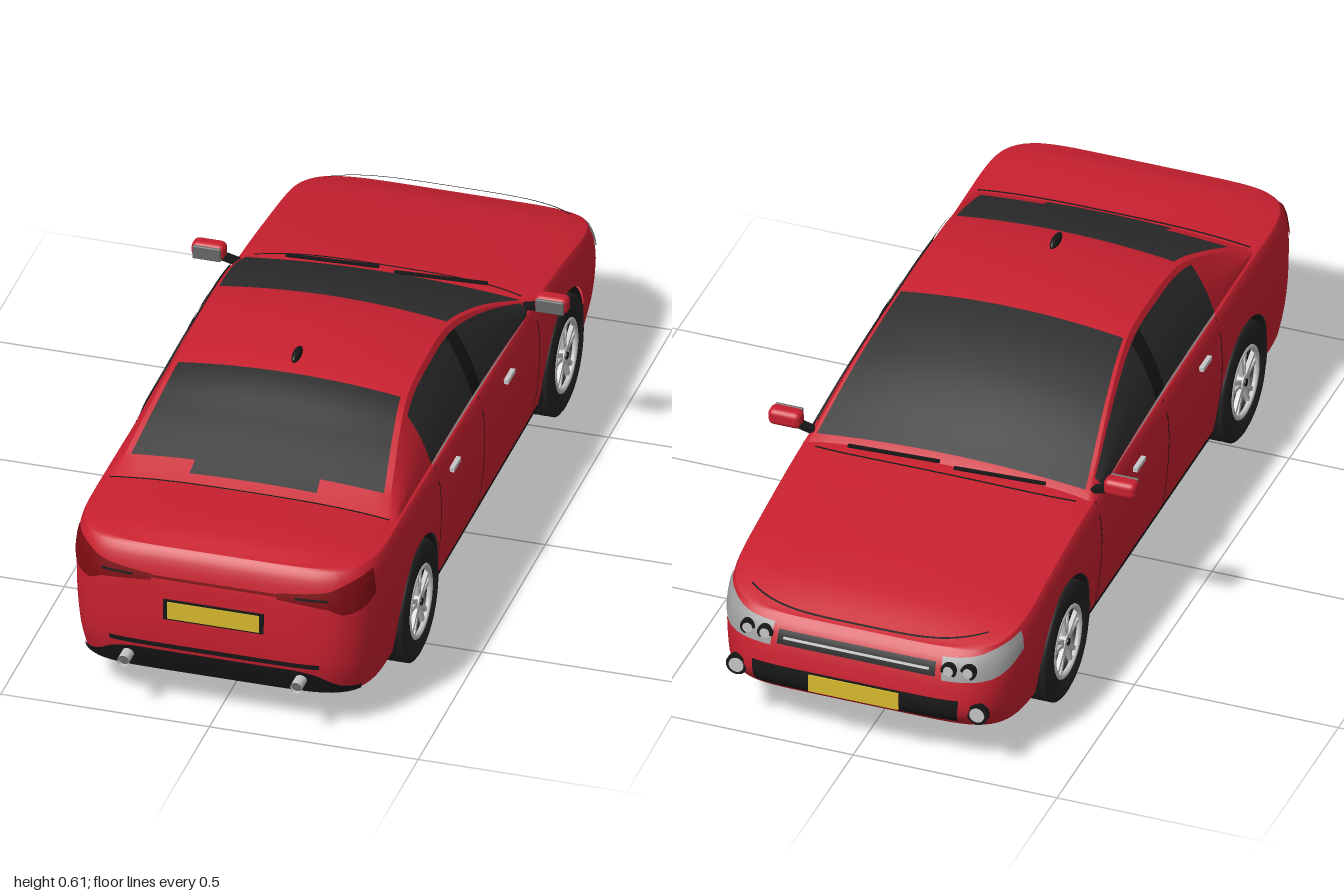
import * as THREE from 'three';
import { mergeVertices, toCreasedNormals } from 'three/addons/utils/BufferGeometryUtils.js';
import { RoundedBoxGeometry } from 'three/addons/geometries/RoundedBoxGeometry.js';

const colours = {
  paintRed: 0xc8202f, lampRed: 0x7c0c12, black: 0x171717, glass: 0x2d2d2d, rubber: 0x222222,
  silver: 0xc6c6c6, lampGrey: 0x9c9c9c, mirrorGrey: 0x686868, plateYellow: 0xd6b92e,
};
const mats = {};
for (const [name, color] of Object.entries(colours)) {
  mats[name] = new THREE.MeshStandardMaterial({ color, side: THREE.DoubleSide });
  mats[name].name = name;
}

// Smooth interpolation through [position, value] pairs
function tab(t, p) {
  if (p <= t[0][0]) return t[0][1];
  const n = t.length - 1;
  if (p >= t[n][0]) return t[n][1];
  const i = t.findIndex((e) => e[0] > p) - 1;
  const slope = (k) => {
    const a = t[Math.max(k - 1, 0)], b = t[Math.min(k + 1, n)];
    return (b[1] - a[1]) / (b[0] - a[0]);
  };
  const h = t[i + 1][0] - t[i][0], u = (p - t[i][0]) / h, u2 = u * u, u3 = u2 * u;
  return t[i][1] * (2 * u3 - 3 * u2 + 1) + slope(i) * h * (u3 - 2 * u2 + u)
    + t[i + 1][1] * (3 * u2 - 2 * u3) + slope(i + 1) * h * (u3 - u2);
}

// Surface from a grid of points
function grid(nu, nv, f) {
  const pos = [], idx = [];
  for (let i = 0; i <= nu; i++) for (let j = 0; j <= nv; j++) pos.push(...f(i, j));
  for (let i = 0; i < nu; i++) for (let j = 0; j < nv; j++) {
    const a = i * (nv + 1) + j, b = a + nv + 1;
    idx.push(a, b, a + 1, b, b + 1, a + 1);
  }
  let g = new THREE.BufferGeometry();
  g.setAttribute('position', new THREE.Float32BufferAttribute(pos, 3));
  g.setIndex(idx);
  g = mergeVertices(g, 1e-5);
  g.computeVertexNormals();
  return g;
}

// Body rules: plan outline, shoulder height, tuck at the bottom and the ends
const W = 0.37, Q = 6.85, WHEEL_Z = [0.555, -0.59], WHEEL_R = 0.145, ARCH_R = 0.16, FLOOR = 0.1;
const shoulder = (z) => tab([[-0.98, 0.312], [-0.9, 0.328], [-0.8, 0.346], [-0.4, 0.395], [0, 0.408], [0.4, 0.418], [0.85, 0.426], [0.965, 0.422]], z);
const crown = (z) => tab([[-0.98, 0], [-0.85, 0.015], [-0.4, 0.02], [0.7, 0.018], [0.88, 0.015], [0.965, 0]], z);
const endU = (z) => Math.min(1, Math.max(0, (-0.7 - z) / 0.28, (z - 0.72) / 0.245));
const halfW = (z) => W * Math.pow(1 - endU(z) ** 3, 1 / Q);
const endZ = (x, s) => {
  const u = Math.cbrt(1 - (x / W) ** Q);
  return s > 0 ? 0.72 + 0.245 * u : -0.7 - 0.28 * u;
};
function bodyPoint(x, z, y) {
  const f = tab([[0.1, 0.95], [0.15, 0.975], [0.25, 1], [0.4, 1.005]], y)
    * tab([[0, 0.95], [0.012, 0.968], [0.035, 0.985], [0.09, 1]], shoulder(z) - y);
  const shift = z < 0
    ? tab([[0.1, 0.045], [0.13, 0.01], [0.16, -0.012], [0.22, -0.008], [0.28, 0.01], [0.315, 0.035]], y)
    : tab([[0.1, -0.025], [0.17, 0], [0.33, 0], [0.38, -0.008], [0.41, -0.02], [0.425, -0.035]], y);
  return [x * f, y, z + shift * endU(z) ** 2];
}
const archDz = (z) => Math.min(...WHEEL_Z.map((c) => Math.abs(z - c)));
const bottomY = (z) => (archDz(z) <= ARCH_R + 1e-4 ? WHEEL_R + Math.sqrt(Math.max(0, ARCH_R ** 2 - archDz(z) ** 2)) : FLOOR);

// Half outline from rear centre to front centre
function makeRing() {
  const xs = [], zs = [];
  for (let i = 0; i < 20; i++) xs.push(i * 0.015);
  const a = endZ(0.3, 1), b = endZ(0.3, -1);
  for (let i = 0; i <= 130; i++) zs.push(a + (b - a) * i / 130);
  for (const c of WHEEL_Z) {
    zs.push(c - ARCH_R - 5e-4, c + ARCH_R + 5e-4);
    for (let i = 0; i <= 24; i++) zs.push(c + ARCH_R * Math.cos(Math.PI * i / 24));
  }
  zs.sort((p, q) => q - p);
  return [...xs.map((x) => [x, endZ(x, 1)]), ...zs.map((z) => [halfW(z), z]), ...xs.reverse().map((x) => [x, endZ(x, -1)])];
}

// Cabin rules: s runs 0-1 up the side, 1-2 over to the centre line, 2-4 mirrored
function cabinPoint(z, s) {
  const sign = s > 2 ? -1 : 1, t = s > 2 ? 4 - s : s;
  const base = shoulder(z) - 0.006;
  const edge = Math.max(base, tab([[-0.4, 0.388], [-0.36, 0.412], [-0.15, 0.512], [0.03, 0.568], [0.2, 0.578], [0.37, 0.562], [0.5, 0.513], [0.66, 0.436], [0.72, 0.41]], z));
  const mid = Math.max(edge, tab([[-0.4, 0.408], [-0.36, 0.432], [-0.15, 0.535], [0.03, 0.59], [0.2, 0.6], [0.37, 0.582], [0.5, 0.528], [0.66, 0.452], [0.72, 0.425]], z));
  const top = tab([[-0.4, 0.342], [-0.36, 0.338], [0.03, 0.28], [0.2, 0.276], [0.37, 0.28], [0.66, 0.325], [0.72, 0.335]], z);
  if (t <= 1) return [sign * (0.35 + (top - 0.35) * t + 0.008 * Math.sin(Math.PI * t)), base + (edge - base) * t, z];
  const q = 2 - t;
  return [sign * top * q, edge + (mid - edge) * (1 - q * q), z];
}

export function createModel() {
  const car = new THREE.Group();
  car.name = 'car';
  const add = (name, geo, mat, x = 0, y = 0, z = 0, parent = car) => {
    const m = new THREE.Mesh(geo, mats[mat]);
    m.name = name;
    m.position.set(x, y, z);
    parent.add(m);
    return m;
  };
  const box = (name, mat, w, h, d, x, y, z, parent) => add(name, new THREE.BoxGeometry(w, h, d), mat, x, y, z, parent);

  // Painted shell: sides, ends, bonnet and boot lid
  const ring = makeRing();
  const loop = [...ring.map((p) => [...p, 1]), ...ring.slice(0, -1).reverse().map((p) => [...p, -1])];
  const SIDE = 16, DECK = 8;
  add('bodyShell', grid(loop.length - 1, SIDE + DECK, (i, j) => {
    const [x, z, sign] = loop[i], top = shoulder(z), low = bottomY(z);
    const y = j >= SIDE ? top : low + (top - low) * (1 - (1 - j / SIDE) ** 1.5);
    const p = bodyPoint(x * sign, z, y);
    if (j > SIDE) {
      const s = 1 - (j - SIDE) / DECK;
      p[0] *= s;
      p[1] += crown(z) * (1 - s ** 3);
    }
    return p;
  }), 'paintRed');

  // Floor with notches for the wheels
  const floorHalf = ring.map(([x, z]) => {
    const p = bodyPoint(x, z, FLOOR);
    return new THREE.Vector2(archDz(z) < ARCH_R + 2e-4 ? 0.265 : p[0], p[2]);
  });
  const floorShape = new THREE.Shape([...floorHalf, ...floorHalf.slice(1, -1).reverse().map((p) => new THREE.Vector2(-p.x, p.y))]);
  add('floor', new THREE.ShapeGeometry(floorShape).rotateX(Math.PI / 2), 'black', 0, FLOOR, 0);

  // Thin strips that follow the body sides and ends, on both halves
  const strip = (name, mat, cols, lo, hi, lift = 0.004) => {
    for (const sign of [1, -1]) add(name, grid(cols.length - 1, 6, (i, j) => {
      const [x, z] = cols[i], a = cols[Math.max(i - 1, 0)], b = cols[Math.min(i + 1, cols.length - 1)];
      const dx = b[0] - a[0], dz = b[1] - a[1], l = Math.hypot(dx, dz) || 1;
      const y0 = lo(x, z), y1 = Math.min(hi(x, z), shoulder(z) - 0.004);
      const p = bodyPoint(x, z, y0 + (y1 - y0) * j / 6);
      return [sign * (p[0] - dz / l * lift), p[1], p[2] + dx / l * lift];
    }), mat);
  };
  const rear = (x0, x1) => ring.filter(([x, z]) => z > 0.8 && x >= x0 && x <= x1);
  const front = (x0, x1) => ring.filter(([x, z]) => z < -0.8 && x >= x0 && x <= x1);
  const flat = (v) => () => v;

  // Rear details
  strip('tailLight', 'lampRed', ring.filter(([x, z]) => z > 0.86 && x > 0.14),
    (x) => tab([[0.14, 0.349], [0.27, 0.335], [0.3, 0.32], [0.34, 0.33], [0.36, 0.355]], x),
    (x) => tab([[0.14, 0.362], [0.27, 0.378], [0.31, 0.395], [0.36, 0.412]], x));
  strip('tailLightInsert', 'black', rear(0.19, 0.28), flat(0.354), flat(0.36), 0.006);
  strip('tailLightBar', 'lampRed', rear(0, 0.15), flat(0.354), flat(0.361));
  strip('rearSlot', 'black', rear(0, 0.256), flat(0.174), flat(0.186));
  strip('rearSkirt', 'black', rear(0, 0.345), flat(0.1),
    (x) => tab([[0.2, 0.166], [0.25, 0.155], [0.3, 0.125], [0.345, 0.112]], x));
  box('rearPlateFrame', 'black', 0.24, 0.052, 0.008, 0, 0.277, 0.967);
  box('rearPlate', 'plateYellow', 0.22, 0.044, 0.008, 0, 0.277, 0.969);

  // Front details
  strip('headlight', 'lampGrey', ring.filter(([x, z]) => z < -0.85 && x > 0.2),
    (x, z) => tab([[-0.98, 0.245], [-0.93, 0.252], [-0.85, 0.288]], z),
    (x, z) => tab([[-0.98, 0.296], [-0.93, 0.315], [-0.85, 0.33]], z));
  strip('upperGrille', 'black', front(0, 0.2), flat(0.252), flat(0.285));
  strip('grilleBar', 'silver', front(0, 0.19), flat(0.266), flat(0.272), 0.007);
  strip('lowerGrille', 'black', front(0, 0.262), flat(0.135), flat(0.2));
  box('frontPlate', 'plateYellow', 0.22, 0.044, 0.008, 0, 0.172, -0.996);
  const lamp = (name, mat, r, x, y, out) => {
    const z = bodyPoint(x, endZ(Math.abs(x), -1), y)[2];
    add(name, new THREE.CylinderGeometry(r, r, 0.014, 24).rotateX(Math.PI / 2), mat, x, y, z - out);
  };
  for (const s of [1, -1]) {
    lamp('fogLampRing', 'black', 0.026, s * 0.295, 0.165, 0);
    lamp('fogLamp', 'silver', 0.018, s * 0.295, 0.165, 0.003);
    for (const x of [0.225, 0.27]) {
      lamp('headlightRing', 'black', 0.019, s * x, 0.27, 0);
      lamp('headlightLens', 'silver', 0.012, s * x, 0.27, 0.003);
    }
  }

  // Panel gaps, sills and handles
  for (const z of [0.4, 0.058, -0.375])
    strip('doorGap', 'black', [[W, z + 0.002], [W, z - 0.002]], flat(0.11), flat(0.42), 0.002);
  strip('sill', 'black', ring.filter(([, z]) => z < 0.39 && z > -0.42), flat(0.1), flat(0.113), 0.002);
  const deckGap = (name, z, half, bow) => add(name, grid(30, 1, (i, j) => {
    const x = half * (i / 15 - 1), zz = z + bow * (x / half) ** 4 + j * 0.005;
    const q = Math.abs(x) / (halfW(zz) * 0.95);
    return [x, shoulder(zz) + crown(zz) * (1 - q ** 3) + 0.003, zz];
  }), 'black');
  deckGap('bootGap', 0.68, 0.335, 0);
  deckGap('bonnetRearGap', -0.425, 0.32, 0.02);
  deckGap('bonnetFrontGap', -0.95, 0.29, 0.06);
  for (const s of [1, -1]) {
    box('rearDoorHandle', 'silver', 0.014, 0.011, 0.055, s * 0.372, 0.361, 0.292);
    box('frontDoorHandle', 'silver', 0.014, 0.011, 0.055, s * 0.372, 0.351, -0.135);
  }

  // Cabin shell and the glass laid over it
  add('cabinShell', toCreasedNormals(grid(56, 32, (i, j) => cabinPoint(-0.4 + 1.11 * i / 56, j / 8)), 0.5), 'paintRed');
  const cabinPatch = (name, mat, z0, z1, s0, s1, lift = 0.004) => add(name, grid(24, 24, (i, j) => {
    const z = z0 + (z1 - z0) * i / 24, s = s0 + (s1 - s0) * j / 24, e = 0.004;
    const v = (zz, ss) => new THREE.Vector3(...cabinPoint(zz, ss));
    const p = v(z, s), n = v(z + e, s).sub(v(z - e, s)).cross(v(z, s + e).sub(v(z, s - e))).normalize();
    if (n.dot(new THREE.Vector3(p.x, p.y - 0.3, 0)) < 0) n.negate();
    return p.addScaledVector(n, lift).toArray();
  }), mat);
  cabinPatch('windscreen', 'glass', -0.365, 0.028, 1.03, 2.97);
  cabinPatch('rearWindow', 'glass', 0.37, 0.62, 1.05, 2.95);
  cabinPatch('rearWindowBase', 'glass', 0.618, 0.655, 1.53, 2.47);
  for (const side of [(s) => s, (s) => 4 - s]) {
    cabinPatch('sideWindow', 'glass', -0.33, 0.408, side(0.08), side(0.93));
    cabinPatch('doorPillar', 'black', 0.03, 0.085, side(0.08), side(0.93), 0.006);
    cabinPatch('windowTrim', 'silver', -0.3, 0.405, side(0.05), side(0.085), 0.006);
  }
  for (const x of [-0.13, 0.13]) box('wiper', 'black', 0.22, 0.006, 0.008, x, 0.423, -0.395).rotation.y = 0.06;
  add('antenna', new THREE.SphereGeometry(1, 16, 10).scale(0.01, 0.014, 0.032), 'black', 0, 0.6, 0.31);

  for (const s of [1, -1]) {
    // Door mirrors
    const mirror = new THREE.Group();
    mirror.name = 'doorMirror';
    car.add(mirror);
    add('mirrorHousing', new RoundedBoxGeometry(0.08, 0.042, 0.04, 3, 0.014), 'paintRed', s * 0.411, 0.431, -0.35, mirror);
    add('mirrorGlass', new RoundedBoxGeometry(0.068, 0.034, 0.008, 2, 0.003), 'mirrorGrey', s * 0.411, 0.431, -0.329, mirror);
    box('mirrorArm', 'black', 0.045, 0.012, 0.022, s * 0.362, 0.414, -0.35, mirror).rotation.z = s * 0.25;

    // Exhaust tips
    add('exhaustTip', new THREE.CylinderGeometry(0.014, 0.014, 0.08, 20, 1, true).rotateX(Math.PI / 2), 'silver', s * 0.207, 0.14, 0.96);
    add('exhaustInside', new THREE.CircleGeometry(0.0135, 20), 'mirrorGrey', s * 0.207, 0.14, 0.99);

    // Wheels and wheel wells
    for (const z of WHEEL_Z) {
      const wheel = new THREE.Group();
      wheel.name = 'wheel';
      wheel.position.set(s * 0.3275, WHEEL_R, z);
      wheel.rotation.y = s > 0 ? 0 : Math.PI;
      car.add(wheel);
      const tread = [];
      for (let i = 0; i < 4; i++) {
        const c = -0.03 + i * 0.02;
        tread.push([0.138, c - 0.01], [0.1445, c - 0.007], [0.1445, c + 0.007]);
      }
      const profile = [[0.09, -0.044], [0.125, -0.0475], [0.137, -0.044], ...tread, [0.138, 0.042], [0.125, 0.0475], [0.09, 0.044], [0.088, 0.02]];
      const tyre = new THREE.LatheGeometry(profile.map(([r, h]) => new THREE.Vector2(r, h)), 48).rotateZ(-Math.PI / 2);
      add('tyre', tyre, 'rubber', 0, 0, 0, wheel);
      const disc = (name, mat, r, w, x) => add(name, new THREE.CylinderGeometry(r, r, w, 32).rotateZ(Math.PI / 2), mat, x, 0, 0, wheel);
      disc('wheelBack', 'black', 0.092, 0.02, -0.032);
      disc('wheelInner', 'black', 0.088, 0.01, 0.012);
      disc('brakeDisc', 'mirrorGrey', 0.06, 0.006, 0.02);
      disc('hub', 'silver', 0.02, 0.02, 0.034);
      disc('hubCap', 'black', 0.009, 0.004, 0.045);
      add('rimRing', new THREE.TorusGeometry(0.084, 0.007, 8, 48).rotateY(Math.PI / 2), 'silver', 0.04, 0, 0, wheel);
      box('brakeCaliper', 'paintRed', 0.012, 0.036, 0.024, 0.023, 0.047, s * 0.026, wheel).rotation.x = s * 0.5;
      for (let i = 0; i < 5; i++) for (const d of [-0.17, 0.17]) {
        const spoke = new THREE.BoxGeometry(0.01, 0.07, 0.01).translate(0.036, 0.048, 0).rotateX(i * Math.PI * 0.4 + d);
        add('spoke', spoke, 'silver', 0, 0, 0, wheel);
      }
      const cut = 0.28;
      const liner = new THREE.CylinderGeometry(ARCH_R, ARCH_R, 0.1, 40, 1, true, -Math.PI / 2 - cut, Math.PI + 2 * cut);
      add('archLiner', liner.rotateX(-Math.PI / 2).rotateY(Math.PI / 2), 'black', s * 0.314, WHEEL_R, z);
      const wall = new THREE.CircleGeometry(ARCH_R, 40, -cut, Math.PI + 2 * cut).rotateY(Math.PI / 2);
      add('archWall', wall, 'black', s * 0.266, WHEEL_R, z);
    }
  }
  return car;
}
